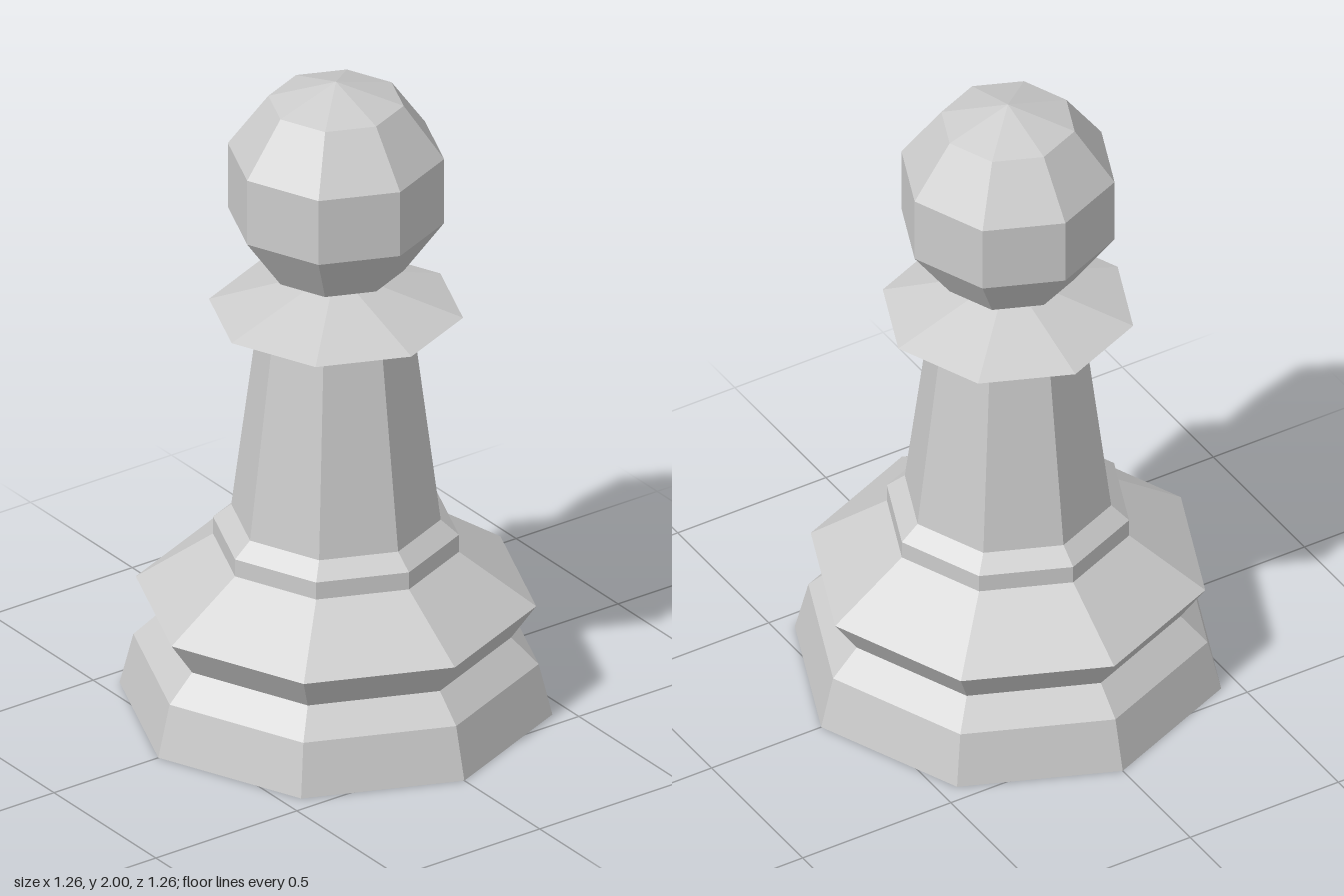
import * as THREE from 'three';

const SIDES = 8;

export function createModel() {
  const group = new THREE.Group();
  group.name = 'pawn';
  const material = new THREE.MeshStandardMaterial({ color: 0xcccccc, flatShading: true });

  // Turns a profile of [radius, height] pairs, listed bottom to top
  const addTurned = (name, profile) => {
    const points = profile.map(([r, y]) => new THREE.Vector2(r, y));
    const mesh = new THREE.Mesh(new THREE.LatheGeometry(points, SIDES), material);
    mesh.name = name;
    group.add(mesh);
  };

  // Foot with a closed underside, tapering in to the groove
  addTurned('foot', [[0, 0], [0.63, 0], [0.59, 0.16], [0.51, 0.24]]);

  // Flared skirt above the groove
  addTurned('skirt', [[0.51, 0.24], [0.583, 0.347], [0.358, 0.505]]);

  // Small stepped ring under the shaft
  addTurned('ring', [[0.358, 0.505], [0.358, 0.56], [0.305, 0.605]]);

  // Tapered shaft
  addTurned('shaft', [[0.305, 0.605], [0.227, 1.217]]);

  // Sharp-edged collar and short neck
  addTurned('collar', [[0.227, 1.217], [0.37, 1.265], [0.095, 1.36]]);
  addTurned('neck', [[0.095, 1.36], [0.095, 1.387]]);

  // Faceted ball head
  addTurned('head', [
    [0.095, 1.387], [0.197, 1.403], [0.315, 1.568],
    [0.315, 1.775], [0.197, 1.938], [0, 2],
  ]);

  return group;
}
